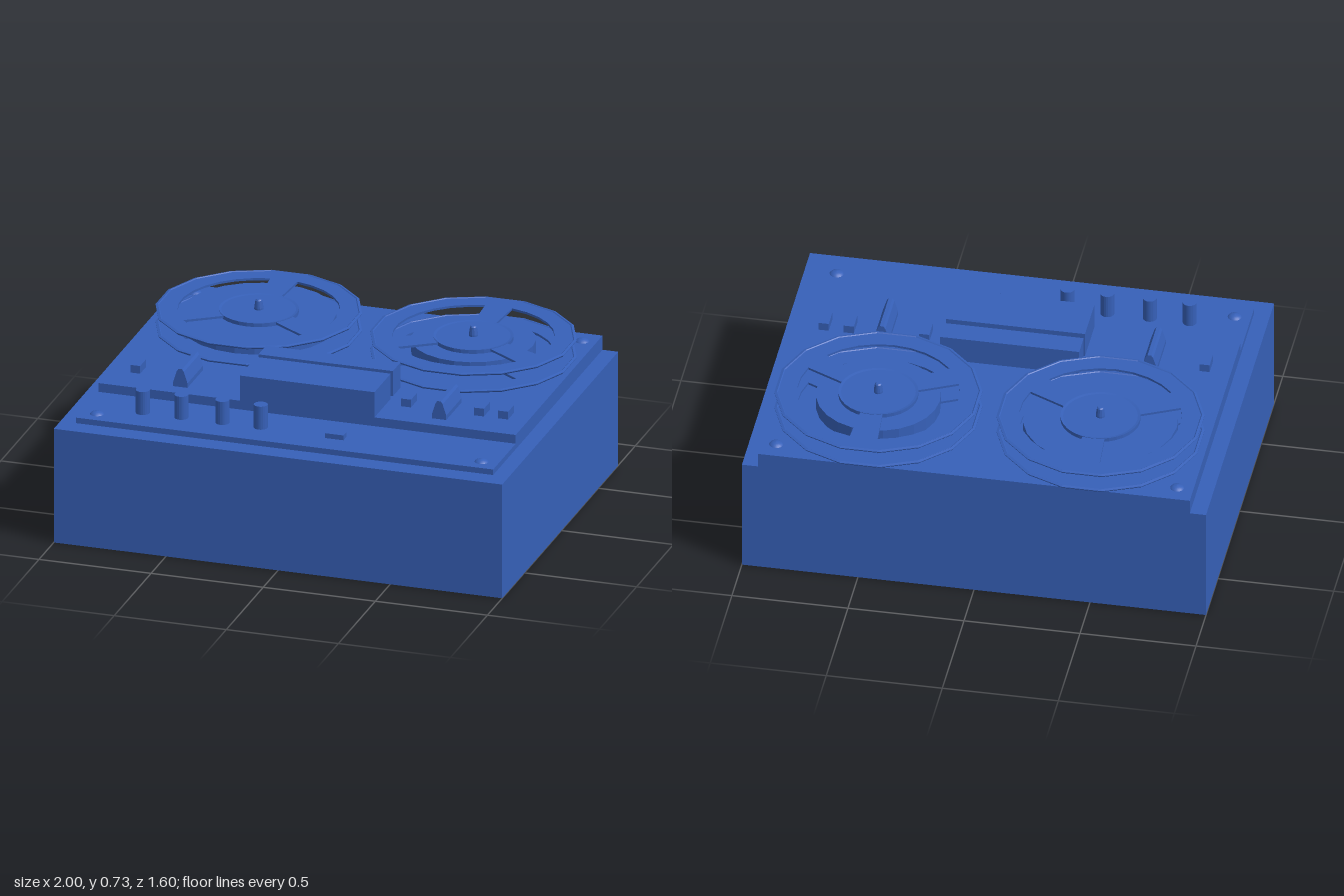
import * as THREE from 'three';

const BLUE = new THREE.MeshStandardMaterial({ color: 0x3660b8, flatShading: true });
const BLUE_SMOOTH = new THREE.MeshStandardMaterial({ color: 0x3660b8 });
const BODY_TOP = 0.52, PANEL_TOP = 0.545, DECK_TOP = 0.585;

function add(parent, name, geometry, material = BLUE) {
  const mesh = new THREE.Mesh(geometry, material);
  mesh.name = name;
  parent.add(mesh);
  return mesh;
}

// Box given by its limits on each axis
function box(parent, name, x0, x1, y0, y1, z0, z1) {
  const mesh = add(parent, name, new THREE.BoxGeometry(x1 - x0, y1 - y0, z1 - z0));
  mesh.position.set((x0 + x1) / 2, (y0 + y1) / 2, (z0 + z1) / 2);
  return mesh;
}

const lathe = (points, segments, start = 0) =>
  new THREE.LatheGeometry(points.map(([r, y]) => new THREE.Vector2(r, y)), segments, start);

const polar = (r, degrees) => {
  const a = THREE.MathUtils.degToRad(degrees);
  return new THREE.Vector2(r * Math.cos(a), r * Math.sin(a));
};

// Sixteen-sided disc with three windows between tapering spokes
function flangeGeometry() {
  const outline = [];
  for (let i = 0; i < 16; i++) outline.push(polar(0.43, (i + 0.5) * 22.5));
  const shape = new THREE.Shape(outline);
  for (const centre of [30, 150, 270]) {
    const points = [];
    for (let i = 0; i <= 8; i++) points.push(polar(0.345, centre - 50 + i * 12.5));
    for (let i = 0; i <= 6; i++) points.push(polar(0.16, centre + 43 - i * 86 / 6));
    shape.holes.push(new THREE.Path(points));
  }
  return new THREE.ExtrudeGeometry(shape, { depth: 0.01, bevelEnabled: false }).rotateX(-Math.PI / 2);
}

function makeReel(name, x, tapeRadius) {
  const reel = new THREE.Group();
  reel.name = name;
  reel.position.set(x, 0, -0.367);
  const flange = flangeGeometry();
  const rim = lathe([[0.426, 0], [0.434, 0], [0.441, 0.007], [0.441, 0.01],
    [0.43, 0.013], [0.426, 0.01], [0.426, 0]], 16, Math.PI / 16);
  for (const [label, y] of [['lowerFlange', 0.597], ['upperFlange', 0.675]]) {
    add(reel, label, flange).position.y = y;
    add(reel, label + 'Rim', rim).position.y = y;
  }
  // Wound tape
  add(reel, 'tapePack', lathe([[0.15, 0.609], [tapeRadius, 0.609], [tapeRadius, 0.609], [tapeRadius, 0.67],
    [tapeRadius, 0.67], [0.15, 0.67]], 24));
  // Hub with a dished top
  add(reel, 'hub', lathe([[0, DECK_TOP], [0.06, DECK_TOP], [0.06, 0.6], [0.17, 0.6], [0.17, 0.687]], 32));
  add(reel, 'hubDish', lathe([[0.17, 0.687], [0.13, 0.68], [0.08, 0.667], [0.04, 0.66], [0, 0.658]], 32),
    BLUE_SMOOTH);
  add(reel, 'spindle', lathe([[0.02, 0.65], [0.02, 0.692], [0.015, 0.725], [0.01, 0.73], [0, 0.73]], 12));
  return reel;
}

export function createModel() {
  const model = new THREE.Group();
  model.name = 'tapeRecorder';

  // Case and stepped top plates
  box(model, 'case', -1, 1, 0, BODY_TOP, -0.77, 0.8);
  box(model, 'controlPanel', -0.93, 0.93, BODY_TOP, PANEL_TOP, 0.405, 0.71);
  box(model, 'deckPlate', -0.93, 0.93, BODY_TOP, DECK_TOP, -0.77, 0.405);

  model.add(makeReel('rightReel', -0.47, 0.33), makeReel('leftReel', 0.487, 0.265));

  // Head covers
  box(model, 'frontHeadCover', -0.3, 0.3, DECK_TOP, 0.7, 0.185, 0.405);
  box(model, 'rearHeadCover', -0.3, 0.3, DECK_TOP, 0.7, 0.052, 0.155);

  // Ridged tape guides
  const guideShape = new THREE.Shape([
    [-0.032, 0], [0.032, 0], [0.032, 0.02], [0.016, 0.07], [0.008, 0.082],
    [-0.008, 0.082], [-0.016, 0.07], [-0.032, 0.02],
  ].map(([x, y]) => new THREE.Vector2(x, y)));
  const guide = new THREE.ExtrudeGeometry(guideShape, { depth: 0.21, bevelEnabled: false });
  for (const x of [-0.588, 0.566]) add(model, 'tapeGuide', guide).position.set(x, DECK_TOP, 0.128);

  // Deck buttons and panel switch
  for (const x of [-0.818, 0.39, 0.715, 0.823])
    box(model, 'button', x - 0.022, x + 0.022, DECK_TOP, 0.62, 0.168, 0.25);
  box(model, 'switch', 0.142, 0.225, PANEL_TOP, 0.567, 0.555, 0.597);

  // Knobs
  for (const x of [-0.68, -0.508, -0.325, -0.154])
    add(model, 'knob', new THREE.CylinderGeometry(0.03, 0.03, 0.105, 20)).position.set(x, 0.5975, 0.566);

  // Domed corner screws
  const dome = lathe([[0.03, 0], [0.025, 0.006], [0.014, 0.011], [0, 0.013]], 16);
  for (const [x, y, z] of [[-0.86, PANEL_TOP, 0.64], [0.855, PANEL_TOP, 0.64],
    [-0.86, DECK_TOP, -0.685], [0.868, DECK_TOP, -0.685]])
    add(model, 'screw', dome, BLUE_SMOOTH).position.set(x, y, z);

  return model;
}
